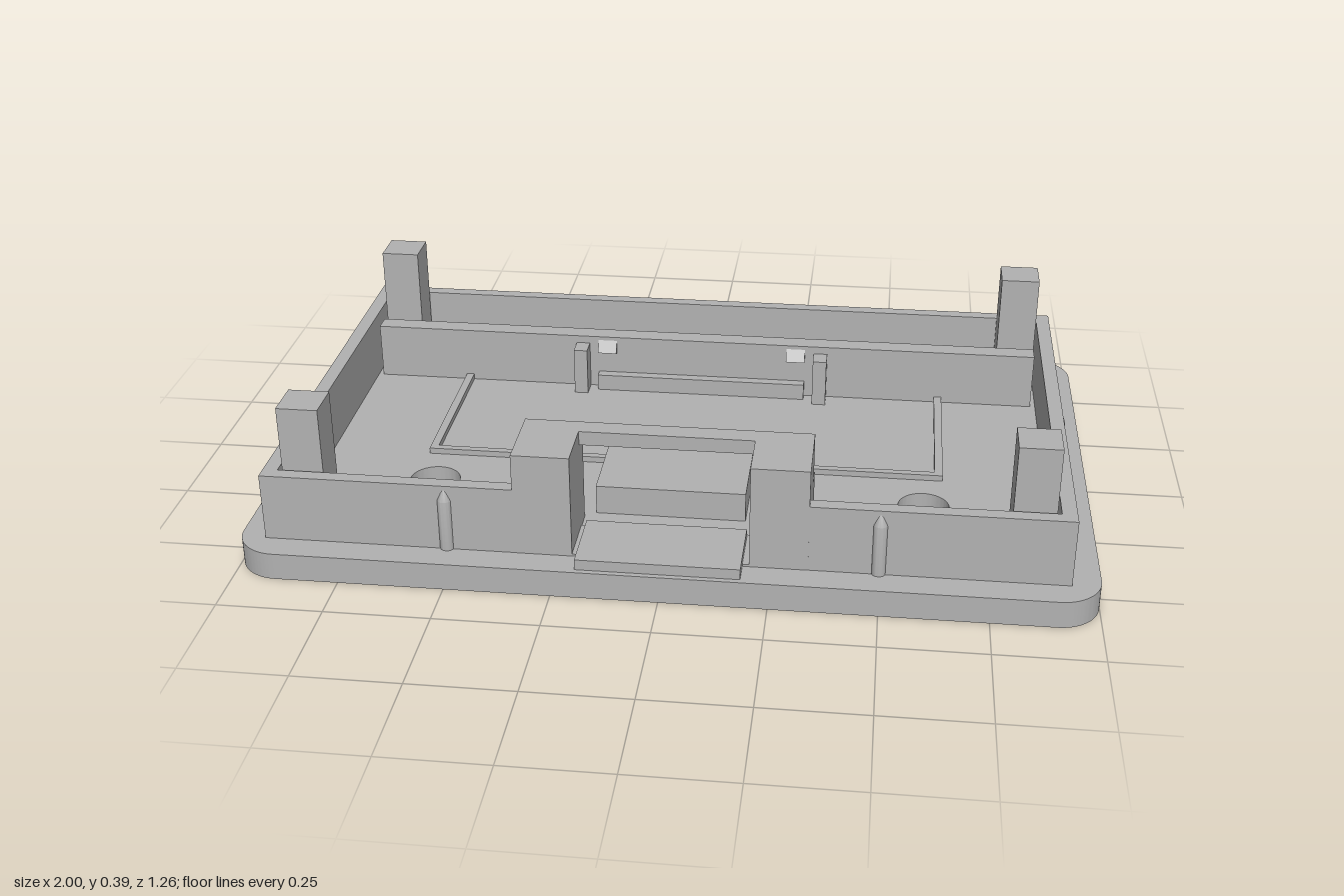
import * as THREE from 'three';
import { toCreasedNormals } from 'three/addons/utils/BufferGeometryUtils.js';

const FLOOR = 0.067;
const plastic = new THREE.MeshStandardMaterial({ color: 0xb2b2b2 });
plastic.name = 'grey plastic';

function add(parent, name, geometry) {
  const mesh = new THREE.Mesh(geometry, plastic);
  mesh.name = name;
  parent.add(mesh);
  return mesh;
}

// Box given by its limits on each axis
function box(parent, name, x0, x1, y0, y1, z0, z1) {
  const g = new THREE.BoxGeometry(x1 - x0, y1 - y0, z1 - z0);
  g.translate((x0 + x1) / 2, (y0 + y1) / 2, (z0 + z1) / 2);
  return add(parent, name, g);
}

// Extrudes a plan shape (x, z) upward from y0 to y1
function slab(shape, y0, y1) {
  const g = new THREE.ExtrudeGeometry(shape, { depth: y1 - y0, bevelEnabled: false, curveSegments: 16 });
  g.rotateX(Math.PI / 2).translate(0, y1, 0);
  return toCreasedNormals(g, 0.6);
}

function polygon(points) {
  return new THREE.Shape(points.map(([x, z]) => new THREE.Vector2(x, z)));
}

function roundedRect(w, d, r) {
  const s = new THREE.Shape();
  s.absarc(w - r, d - r, r, 0, Math.PI / 2);
  s.absarc(-w + r, d - r, r, Math.PI / 2, Math.PI);
  s.absarc(-w + r, -d + r, r, Math.PI, Math.PI * 1.5);
  s.absarc(w - r, -d + r, r, Math.PI * 1.5, Math.PI * 2);
  s.closePath();
  return s;
}

// Round opening with a narrower slot running to the back
function keyhole(cx) {
  const R = 0.115, r = 0.062, z = 0.4;
  const dz = Math.sqrt(R * R - r * r), a = Math.atan2(dz, r);
  const p = new THREE.Path();
  p.moveTo(cx + r, z - dz);
  p.absarc(cx, z, R, -a, Math.PI + a, false);
  p.lineTo(cx - r, 0.235);
  p.absarc(cx, 0.235, r, Math.PI, Math.PI * 2, false);
  p.closePath();
  return p;
}

export function createModel() {
  const model = new THREE.Group();
  model.name = 'wallMountCase';

  // Base plate with two hanging holes
  const plate = roundedRect(1, 0.628, 0.1);
  plate.holes.push(keyhole(-0.608), keyhole(0.6));
  add(model, 'basePlate', slab(plate, 0, FLOOR));

  const inner = new THREE.Group();
  inner.name = 'upperParts';
  inner.position.set(-0.003, 0, -0.003);
  model.add(inner);

  // Perimeter wall, open at the front middle
  const wall = polygon([
    [0.205, 0.56], [0.935, 0.56], [0.935, -0.56], [-0.935, -0.56], [-0.935, 0.56], [-0.205, 0.56],
    [-0.205, 0.527], [-0.9, 0.527], [-0.9, -0.527], [0.9, -0.527], [0.9, 0.527], [0.205, 0.527],
  ]);
  add(inner, 'perimeterWall', slab(wall, FLOOR, 0.233));

  // Corner posts
  for (const sx of [-1, 1]) for (const sz of [-1, 1]) {
    const x = sx * 0.842, z = sz * 0.471;
    box(inner, 'cornerPost', x - 0.049, x + 0.049, FLOOR, 0.39, z - 0.049, z + 0.049);
  }

  // Snap ribs with tapered tops on the outside of the wall
  const ribProfile = [[0, FLOOR], [0.017, FLOOR], [0.017, 0.195], [0.006, 0.222], [0, 0.222]]
    .map(([r, y]) => new THREE.Vector2(r, y));
  const ribGeometry = toCreasedNormals(new THREE.LatheGeometry(ribProfile, 16), 0.5);
  for (const [x, z] of [[-0.5, 0.554], [0.5, 0.554], [-0.5, -0.554], [0.5, -0.554], [-0.929, 0.003], [0.929, 0.003]]) {
    add(inner, 'snapRib', ribGeometry).position.set(x, 0, z);
  }

  // Front towers joined by a bridge
  for (const s of [-1, 1]) {
    const [a, b] = s < 0 ? [-0.34, -0.205] : [0.205, 0.34];
    box(inner, 'frontTower', a, b, FLOOR, 0.323, 0.378, 0.5605);
  }
  box(inner, 'towerBridge', -0.205, 0.205, 0.288, 0.323, 0.378, 0.428);

  // Rear cross rail with its ledge and hooks
  box(inner, 'crossRail', -0.887, 0.887, FLOOR, 0.213, -0.378, -0.328);
  box(inner, 'railLedge', -0.28, 0.28, FLOOR, 0.11, -0.33, -0.302);
  const hook = new THREE.Shape([[0, 0.165], [0.018, 0.172], [0, 0.205]].map(([a, b]) => new THREE.Vector2(a, b)));
  for (const x of [-0.255, 0.255]) {
    const g = new THREE.ExtrudeGeometry(hook, { depth: 0.05, bevelEnabled: false });
    g.rotateY(-Math.PI / 2).translate(x + 0.025, 0, -0.329);
    add(inner, 'railHook', g);
  }

  // Guide tabs facing each other across the floor
  for (const x of [-0.322, 0.322]) {
    box(inner, 'rearGuideTab', x - 0.018, x + 0.018, FLOOR, 0.193, -0.329, -0.277);
    box(inner, 'frontGuideTab', x - 0.018, x + 0.018, FLOOR, 0.193, 0.325, 0.379);
  }

  // Low rim outlining the floor panel
  const rim = polygon([[-0.65, -0.525], [0.65, -0.525], [0.65, 0.109], [-0.65, 0.109]]);
  rim.holes.push(polygon([[-0.63, -0.507], [-0.63, 0.091], [0.63, 0.091], [0.63, -0.507]]));
  add(inner, 'panelRim', slab(rim, FLOOR, 0.082));

  // Centre block and front lip
  box(inner, 'centreBlock', -0.18, 0.18, FLOOR, 0.14, 0.123, 0.358);
  box(inner, 'frontLipBase', -0.205, 0.205, FLOOR, 0.072, 0.428, 0.56);
  box(inner, 'frontLip', -0.19, 0.19, FLOOR, 0.093, 0.439, 0.618);

  return model;
}
